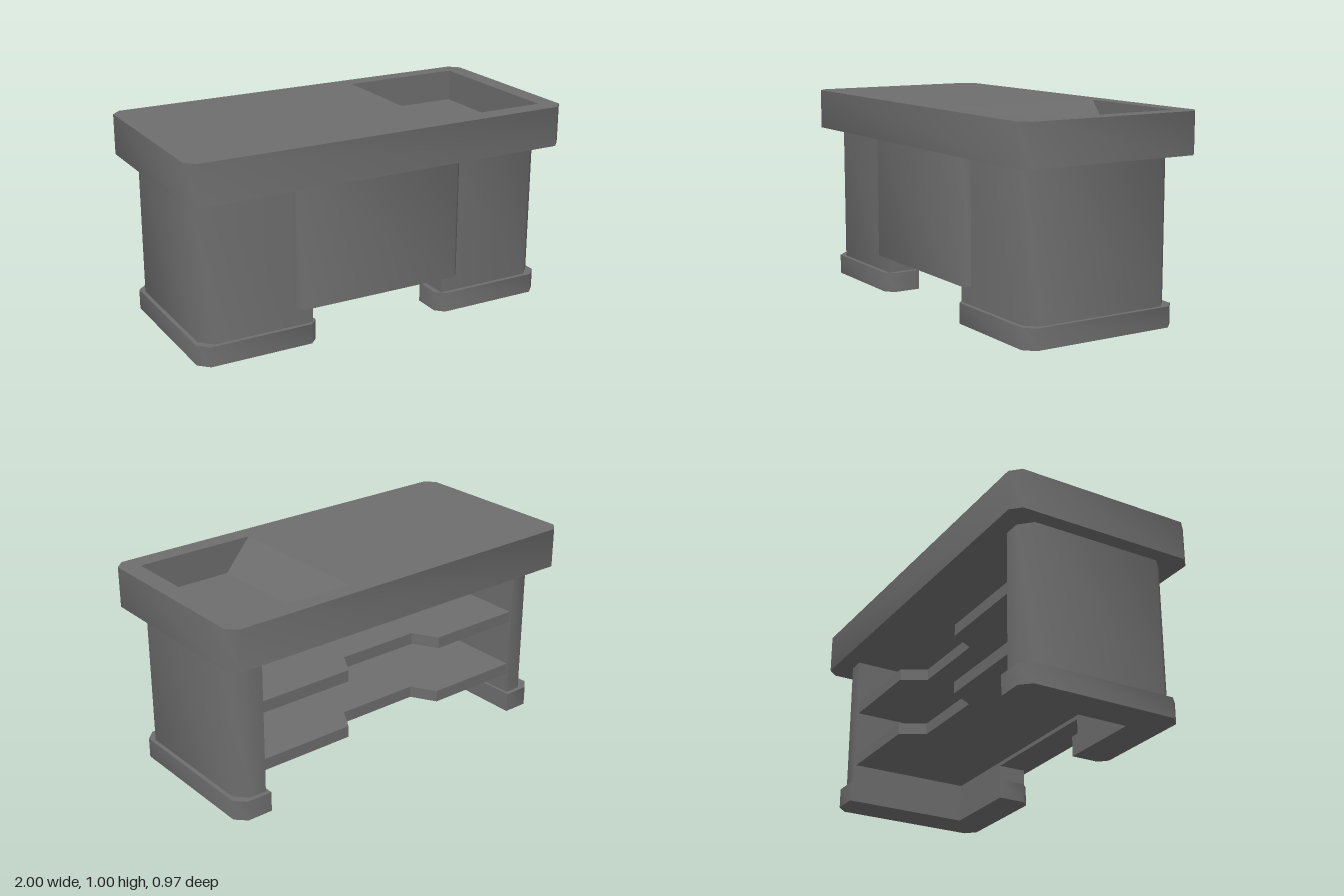
import * as THREE from 'three';
import { toCreasedNormals } from 'three/addons/utils/BufferGeometryUtils.js';

const material = new THREE.MeshStandardMaterial({ color: 0x6e6e6e });

// Path through [x, z, cut] corners; a non-zero cut chamfers that corner
function outline(points, Type = THREE.Shape) {
  const n = points.length;
  const toward = (a, b, d) => {
    const from = new THREE.Vector2(a[0], a[1]);
    const step = new THREE.Vector2(b[0], b[1]).sub(from).setLength(d);
    return from.add(step);
  };
  return new Type(points.flatMap((p, i) => {
    if (!p[2]) return [new THREE.Vector2(p[0], p[1])];
    return [toward(p, points[(i + n - 1) % n], p[2]), toward(p, points[(i + 1) % n], p[2])];
  }));
}

// Plan shape in x/z raised from y0 to y1, chamfers shaded smoothly
function slab(name, shape, y0, y1) {
  const geo = new THREE.ExtrudeGeometry(shape, { depth: y1 - y0, bevelEnabled: false });
  geo.rotateX(Math.PI / 2).translate(0, y1, 0);
  const mesh = new THREE.Mesh(toCreasedNormals(geo, 0.9), material);
  mesh.name = name;
  return mesh;
}

export function createModel() {
  const group = new THREE.Group();
  group.name = 'counter';

  // Countertop with a rectangular tray cut out
  const top = new THREE.Group();
  top.name = 'countertop';
  const X = 1, Z = 0.485, C = 0.047, floorY = 0.84;
  const tray = [[0.295, -0.4], [0.295, 0.39], [0.907, 0.39], [0.907, -0.4]];
  const plan = outline([[-X, -Z, C], [X, -Z, C], [X, Z, C], [-X, Z, C]]);
  plan.holes.push(outline(tray, THREE.Path));
  top.add(slab('countertopSlab', plan, 0.8, 1), slab('trayFloor', outline(tray), 0.8, floorY));

  // Sloping side of the tray
  const ramp = new THREE.Mesh(
    new THREE.ExtrudeGeometry(outline([[0.295, floorY], [0.43, floorY], [0.295, 1]]), { depth: 0.79, bevelEnabled: false }),
    material
  );
  ramp.position.z = -0.4;
  ramp.name = 'trayRamp';
  top.add(ramp);
  group.add(top);

  // L-shaped pedestals with wider plinths, open to the back
  for (const s of [1, -1]) {
    const side = s > 0 ? 'left' : 'right';
    group.add(slab(side + 'Pedestal', outline([
      [s * 0.36, 0.395], [s * 0.925, 0.395, 0.06], [s * 0.925, -0.39, 0.06],
      [s * 0.78, -0.39], [s * 0.78, 0.25], [s * 0.36, 0.25],
    ]), 0.1, 0.8));
    group.add(slab(side + 'Plinth', outline([
      [s * 0.336, 0.415, 0.04], [s * 0.945, 0.415, 0.05], [s * 0.945, -0.412, 0.05],
      [s * 0.765, -0.412], [s * 0.765, 0.235], [s * 0.336, 0.235],
    ]), 0, 0.1));
  }

  // Raised front panel between the pedestals
  group.add(slab('frontPanel', outline([
    [-0.445, 0.25], [-0.445, 0.425, 0.03], [0.445, 0.425, 0.03], [0.445, 0.25],
  ]), 0.185, 0.8));

  // Two shelves with a cut-back middle
  [['lowerShelf', 0.205], ['upperShelf', 0.502]].forEach(([name, y]) => {
    group.add(slab(name, outline([
      [-0.78, 0.25], [-0.78, -0.38], [-0.285, -0.38], [-0.215, -0.26],
      [0.215, -0.26], [0.285, -0.38], [0.78, -0.38], [0.78, 0.25],
    ]), y, y + 0.058));
  });

  return group;
}
